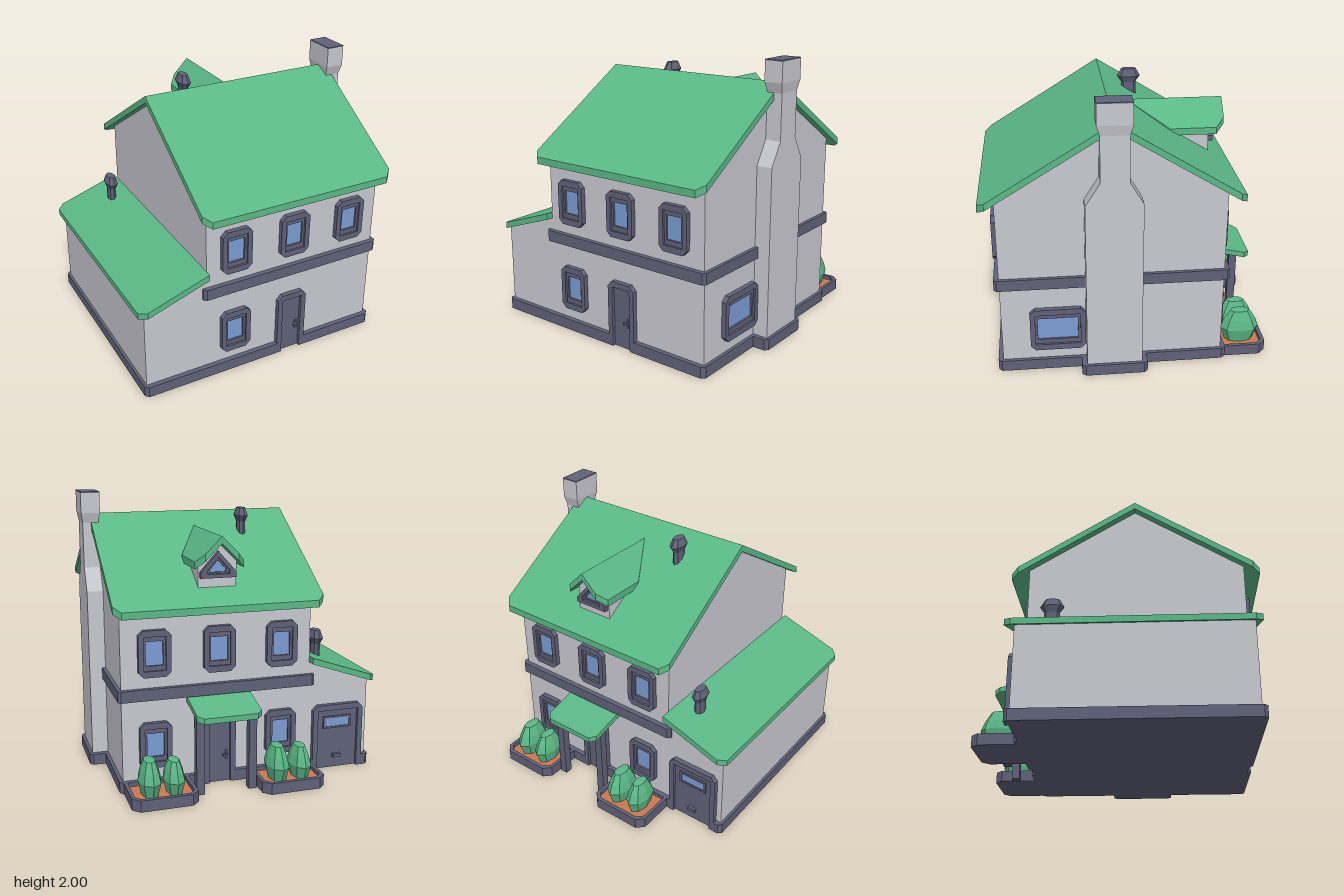
import * as THREE from 'three';

const mat = (name, color) => {
  const m = new THREE.MeshStandardMaterial({ color });
  m.name = name;
  return m;
};

export function createModel() {
  const wall = mat('pale grey wall', 0xc8c8d0);
  const slate = mat('slate trim', 0x5f6178);
  const green = mat('green', 0x5ab886);
  const glass = mat('blue glass', 0x7a9cd2);
  const soil = mat('terracotta soil', 0xcc7852);

  const house = new THREE.Group();
  house.name = 'house';
  const add = (name, geo, material, parent = house) => {
    const m = new THREE.Mesh(geo, material);
    m.name = name;
    parent.add(m);
    return m;
  };
  const shapeOf = (pts) => new THREE.Shape(pts.map((p) => new THREE.Vector2(p[0], p[1])));
  const extrude = (pts, depth, hole) => {
    const s = shapeOf(pts);
    if (hole) s.holes.push(shapeOf(hole));
    return new THREE.ExtrudeGeometry(s, { depth, bevelEnabled: false });
  };
  // rectangle with chosen corners cut: [x0y0, x1y0, x1y1, x0y1]
  const rect = (x0, y0, x1, y1, c = 0, [a, b, d, e] = [1, 1, 1, 1]) => {
    const p = [];
    if (a && c) p.push([x0, y0 + c], [x0 + c, y0]); else p.push([x0, y0]);
    if (b && c) p.push([x1 - c, y0], [x1, y0 + c]); else p.push([x1, y0]);
    if (d && c) p.push([x1, y1 - c], [x1 - c, y1]); else p.push([x1, y1]);
    if (e && c) p.push([x0 + c, y1], [x0, y1 - c]); else p.push([x0, y1]);
    return p;
  };
  // plan outline (x, z) thickened downward, its top following height(x, z)
  const slab = (pts, t, height, hole) => {
    const g = extrude(pts, t, hole).rotateX(Math.PI / 2);
    const p = g.attributes.position;
    for (let i = 0; i < p.count; i++) p.setY(i, p.getY(i) + height(p.getX(i), p.getZ(i)));
    g.computeVertexNormals();
    return g;
  };
  const box = (x0, y0, z0, x1, y1, z1) =>
    new THREE.BoxGeometry(x1 - x0, y1 - y0, z1 - z0)
      .translate((x0 + x1) / 2, (y0 + y1) / 2, (z0 + z1) / 2);
  const lathe = (pts, sides) => {
    const g = new THREE.LatheGeometry(pts.map((p) => new THREE.Vector2(p[0], p[1])), sides).toNonIndexed();
    g.computeVertexNormals();
    return g;
  };

  // main walls with gables, profile (z, y) run along x
  const gable = [[0.89, 0.02], [0.89, 1.312], [0.11, 1.795], [-0.66, 1.318], [-0.66, 0.02]];
  add('mainWalls', extrude(gable.map(([z, y]) => [-z, y]), 1.36)
    .rotateY(Math.PI / 2).translate(-0.5, 0, 0), wall);
  // lean-to walls, profile (x, y) run along z
  add('annexWalls', extrude([[-0.96, 0.02], [-0.5, 0.02], [-0.5, 0.82], [-0.96, 0.665]], 1.55)
    .translate(0, 0, -0.66), wall);

  // plinth, open at the doors and stepping out round the chimney
  add('plinth', slab([
    [-0.98, 0.9], [-0.955, 0.925], [0.06, 0.925], [0.06, 0.89], [0.29, 0.89], [0.29, 0.925],
    [0.86, 0.925], [0.885, 0.9], [0.885, 0.34], [0.975, 0.34], [0.998, 0.315],
    [0.998, -0.095], [0.975, -0.12], [0.885, -0.12], [0.885, -0.665], [0.86, -0.695],
    [0.29, -0.695], [0.29, -0.66], [0.06, -0.66], [0.06, -0.695], [-0.53, -0.695],
    [-0.53, -0.66], [-0.92, -0.66], [-0.92, -0.695], [-0.955, -0.695], [-0.98, -0.67],
  ], 0.08, () => 0.08), slate);
  add('beltCourse', slab(rect(-0.53, -0.695, 0.885, 0.925, 0.02), 0.08, () => 0.73), slate);

  // main roof, two slopes meeting at z = 0.11
  const roofY = (x, z) => 1.84 - 0.618 * Math.abs(z - 0.11);
  add('frontRoof', slab(rect(-0.56, 0.11, 0.915, 1, 0.05, [0, 0, 1, 1]), 0.05, roofY), green);
  add('backRoof', slab(rect(-0.56, -0.785, 0.915, 0.11, 0.05, [1, 1, 0, 0]), 0.05, roofY), green);
  add('annexRoof', slab(rect(-1, -0.73, -0.5, 0.94, 0.05, [1, 0, 0, 1]), 0.045,
    (x) => 0.86 + 0.345 * (x + 0.5)), green);

  // dormer
  const dx = 0.173;
  const dormer = new THREE.Group();
  dormer.name = 'dormer';
  dormer.position.x = dx;
  house.add(dormer);
  for (const s of [-1, 1]) {
    add('dormerRoof', slab([[0, -0.73], [s * 0.115, -0.73], [s * 0.172, -0.67],
      [s * 0.172, -0.34], [0, -0.045]], 0.05, (x) => 1.745 - Math.abs(x)), green, dormer);
  }
  add('dormerWalls', extrude([[-0.135, 1.35], [0.135, 1.35], [0.135, 1.565], [0, 1.7], [-0.135, 1.565]], 0.4)
    .translate(0, 0, -0.62), wall, dormer);
  const tri = (k) => [[-0.125, -0.07], [0.125, -0.07], [0.125, -0.03], [0, 0.11], [-0.125, -0.03]]
    .map(([x, y]) => [x * k, y * k + 1.525]);
  add('dormerWindowFrame', extrude(tri(1), 0.035, tri(0.62)).translate(0, 0, -0.655), slate, dormer);
  add('dormerInnerFrame', extrude(tri(0.66), 0.018, tri(0.45)).translate(0, 0, -0.638), slate, dormer);
  add('dormerGlass', extrude(tri(0.5), 0.006).translate(0, 0, -0.626), glass, dormer);

  // chimney lofted through rectangles [y, x1, z0, z1, x0]
  const rings = [
    [0.04, 0.975, -0.08, 0.305, 0.86], [1.3, 0.975, -0.08, 0.305, 0.86],
    [1.46, 0.975, 0.014, 0.206, 0.86], [1.78, 0.975, 0.014, 0.206, 0.864],
    [1.85, 0.987, -0.005, 0.228, 0.853], [1.992, 0.987, -0.005, 0.228, 0.853],
  ].map(([y, x1, z0, z1, x0]) => [[x0, y, z1], [x1, y, z1], [x1, y, z0], [x0, y, z0]]);
  const verts = [];
  for (let i = 0; i + 1 < rings.length; i++) {
    for (let j = 0; j < 4; j++) {
      const k = (j + 1) % 4;
      const [a, b, c, d] = [rings[i][j], rings[i][k], rings[i + 1][k], rings[i + 1][j]];
      verts.push(...a, ...b, ...c, ...a, ...c, ...d);
    }
  }
  const stack = new THREE.BufferGeometry();
  stack.setAttribute('position', new THREE.Float32BufferAttribute(verts, 3));
  stack.computeVertexNormals();
  add('chimney', stack, wall);
  add('chimneyTop', box(0.853, 1.991, -0.005, 0.987, 2, 0.228), slate);

  // roof vents, stretched along z
  const ventGeo = lathe([[0, 0], [0.031, 0], [0.031, 0.2], [0.049, 0.245], [0.031, 0.3], [0, 0.3]], 8);
  for (const [x, y, z] of [[-0.63, 0.7, -0.465], [-0.17, 1.57, -0.1]]) {
    const v = add('roofVent', ventGeo, slate);
    v.position.set(x, y, z);
    v.scale.z = 1.75;
  }

  // openings are built facing +z, then turned to their wall
  const opening = (name, x, y, z, turn) => {
    const g = new THREE.Group();
    g.name = name;
    g.position.set(x, y, z);
    g.rotation.y = turn;
    house.add(g);
    return g;
  };
  const centred = (w, h, c) => rect(-w, -h, w, h, c);
  const addWindow = (x, y, z, turn, w = 0.113) => {
    const g = opening('window', x, y, z, turn);
    add('windowFrame', extrude(centred(w, 0.162, 0.035), 0.035, centred(w - 0.036, 0.118)), slate, g);
    add('windowSash', extrude(centred(w - 0.036, 0.118), 0.02, centred(w - 0.053, 0.084)), slate, g);
    add('windowGlass', extrude(centred(w - 0.053, 0.084), 0.006), glass, g);
  };
  const addDoor = (x, z, turn, w, handle) => {
    const g = opening('door', x, 0, z, turn);
    const top = [0, 0, 1, 1];
    const k = w - 0.038;
    const outer = [[-w, 0], [-k, 0], [-k, 0.445], [k, 0.445], [k, 0], [w, 0],
      [w, 0.45], [w - 0.035, 0.487], [-w + 0.035, 0.487], [-w, 0.45]];
    add('doorFrame', extrude(outer, 0.035), slate, g);
    add('doorPanel', extrude(rect(-k, 0, k, 0.445, 0, top), 0.012), slate, g);
    if (handle) {
      add('handlePlate', box(0.043, 0.165, 0.01, 0.058, 0.23, 0.022), slate, g);
      add('handleLever', box(0.022, 0.192, 0.02, 0.058, 0.206, 0.04), slate, g);
    }
    return g;
  };

  const back = Math.PI;
  for (const x of [-0.28, 0.175, 0.63]) {
    addWindow(x, 0.972, 0.89, 0);
    addWindow(x, 0.972, -0.66, back);
  }
  addWindow(-0.28, 0.327, 0.89, 0);
  addWindow(-0.28, 0.327, -0.66, back);
  addWindow(0.63, 0.327, -0.66, back);
  addWindow(0.86, 0.327, 0.5, Math.PI / 2, 0.193);
  addDoor(0.175, 0.89, 0, 0.115, true);
  addDoor(0.175, -0.66, back, 0.115, true);

  // wide lean-to door with a window strip and a pull
  const wide = addDoor(-0.725, -0.66, back, 0.195, false);
  add('doorGlassFrame', extrude(centred(0.11, 0.045), 0.012, centred(0.095, 0.032))
    .translate(0, 0.35, 0.012), slate, wide);
  add('doorGlass', extrude(centred(0.095, 0.032), 0.006).translate(0, 0.35, 0.011), glass, wide);
  add('doorPull', box(-0.03, 0.08, 0.01, 0.03, 0.105, 0.035), slate, wide);

  // porch canopy and posts
  add('porchCanopy', slab(rect(-0.05, -0.955, 0.405, -0.65, 0.04, [1, 1, 0, 0]), 0.04,
    (x, z) => 0.648 + 0.235 * (z + 0.66)), green);
  for (const x of [-0.01, 0.365]) {
    add('porchPost', box(x - 0.028, 0, -0.86, x + 0.028, 0.575, -0.804), slate);
  }

  // planters with soil and two shrubs each
  const shrub = lathe([[0, 0.03], [0.1, 0.04], [0.143, 0.15], [0.115, 0.22], [0.07, 0.29], [0, 0.295]], 8);
  for (const x of [-0.505, 0.405]) {
    const outer = rect(x, -1, x + 0.455, -0.66, 0.05, [1, 1, 0, 0]);
    const inner = rect(x + 0.025, -0.972, x + 0.43, -0.69, 0.04, [1, 1, 0, 0]);
    add('planterRim', slab(outer, 0.08, () => 0.08, inner), slate);
    add('planterBase', slab(inner, 0.02, () => 0.02), slate);
    add('planterSoil', slab(inner, 0.03, () => 0.05), soil);
    [[0.14, 0.94], [0.308, 1]].forEach(([dx2, k]) => {
      const s = add('shrub', shrub, green);
      s.position.set(x + dx2, 0, -0.828);
      s.scale.set(0.56 * k, k, k);
    });
  }
  return house;
}
